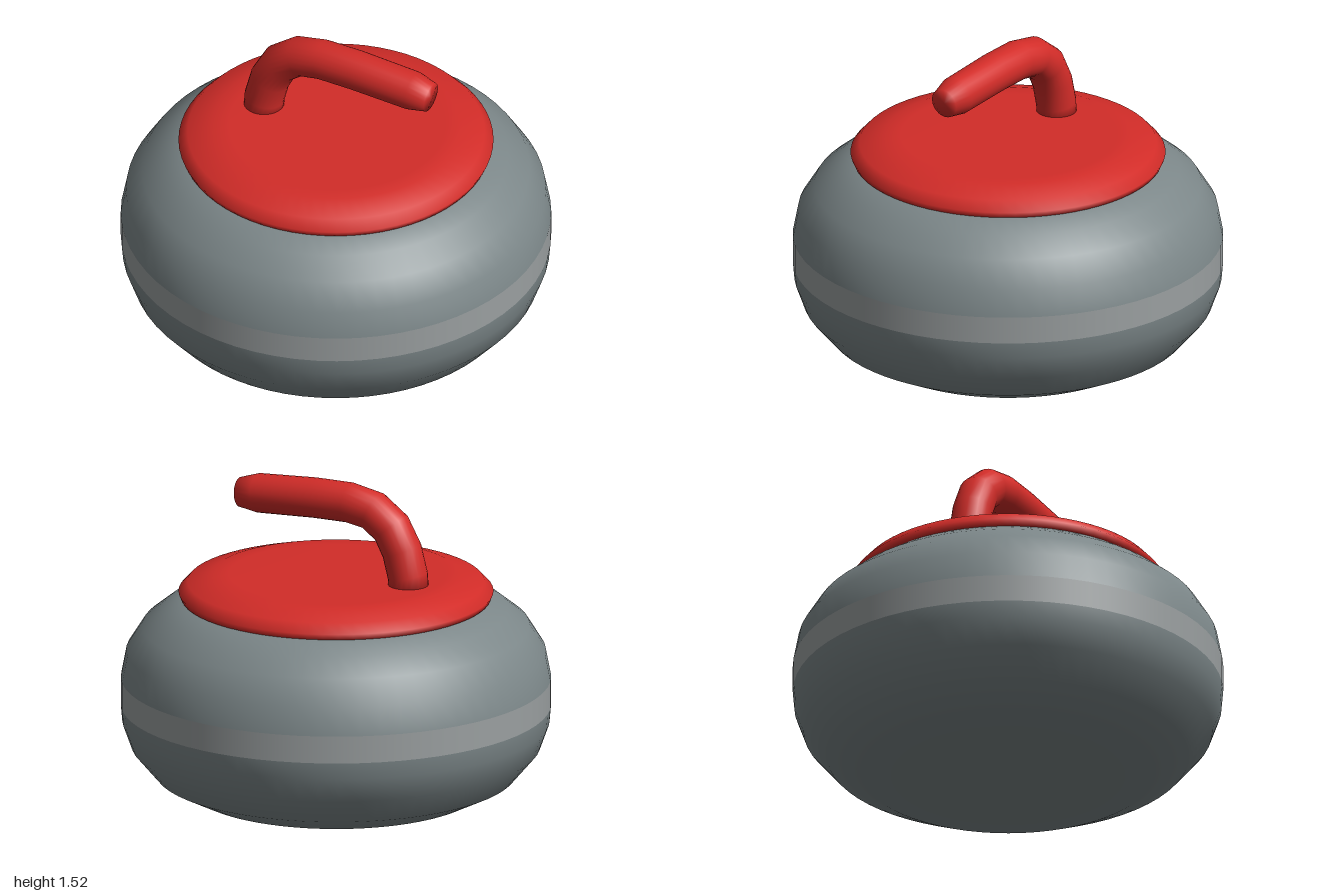
import * as THREE from 'three';
import { mergeVertices } from 'three/addons/utils/BufferGeometryUtils.js';

const stone = new THREE.MeshStandardMaterial({ color: 0x7c8789 });
const bandGrey = new THREE.MeshStandardMaterial({ color: 0x9a9fa0 });
const red = new THREE.MeshStandardMaterial({ color: 0xd22c28 });

// Surface of revolution from [radius, height] pairs, bottom to top
function turned(name, profile, material) {
  const points = profile.map(([r, y]) => new THREE.Vector2(r, y));
  const mesh = new THREE.Mesh(new THREE.LatheGeometry(points, 64), material);
  mesh.name = name;
  return mesh;
}

// Round bar swept along [x, y, radius] stations in the z = 0 plane
function sweptBar(name, stations, material) {
  const rows = stations.length - 1;
  const geo = new THREE.CylinderGeometry(1, 1, rows, 24, rows);
  const pos = geo.attributes.position;
  for (let i = 0; i < pos.count; i++) {
    const k = Math.round(pos.getY(i) + rows / 2);
    const [x, y, r] = stations[k];
    const a = stations[Math.max(k - 1, 0)];
    const b = stations[Math.min(k + 1, rows)];
    const angle = Math.atan2(b[1] - a[1], b[0] - a[0]);
    const across = pos.getX(i) * r;
    pos.setXYZ(i, x + Math.sin(angle) * across, y - Math.cos(angle) * across, pos.getZ(i) * r);
  }
  geo.deleteAttribute('normal');
  geo.deleteAttribute('uv');
  const smooth = mergeVertices(geo);
  smooth.computeVertexNormals();
  const mesh = new THREE.Mesh(smooth, material);
  mesh.name = name;
  return mesh;
}

export function createModel() {
  const model = new THREE.Group();
  model.name = 'curlingStone';

  // Stone body, with a paler striking band round its waist
  model.add(
    turned('lowerBody', [
      [0, 0], [0.52, 0.005], [0.68, 0.03], [0.84, 0.11],
      [0.95, 0.24], [0.993, 0.36], [1, 0.44],
    ], stone),
    turned('strikingBand', [[1, 0.44], [1, 0.57]], bandGrey),
    turned('upperBody', [
      [1, 0.57], [0.975, 0.7], [0.9, 0.82], [0.8, 0.9], [0.71, 0.957], [0.6, 0.97], [0, 0.97],
    ], stone),
  );

  // Red cover disc with a rounded, slightly undercut rim
  model.add(turned('coverDisc', [
    [0.68, 0.956], [0.72, 0.956], [0.732, 0.985], [0.69, 1.03], [0.575, 1.065], [0.5, 1.066], [0, 1.066],
  ], red));

  // Gooseneck handle with a tapered tip
  model.add(sweptBar('handle', [
    [-0.38, 1.04, 0.094], [-0.375, 1.11, 0.094], [-0.345, 1.225, 0.094],
    [-0.29, 1.327, 0.094], [-0.195, 1.398, 0.094], [-0.07, 1.422, 0.094],
    [0.11, 1.421, 0.094], [0.405, 1.405, 0.092], [0.498, 1.397, 0.07],
  ], red));

  return model;
}
